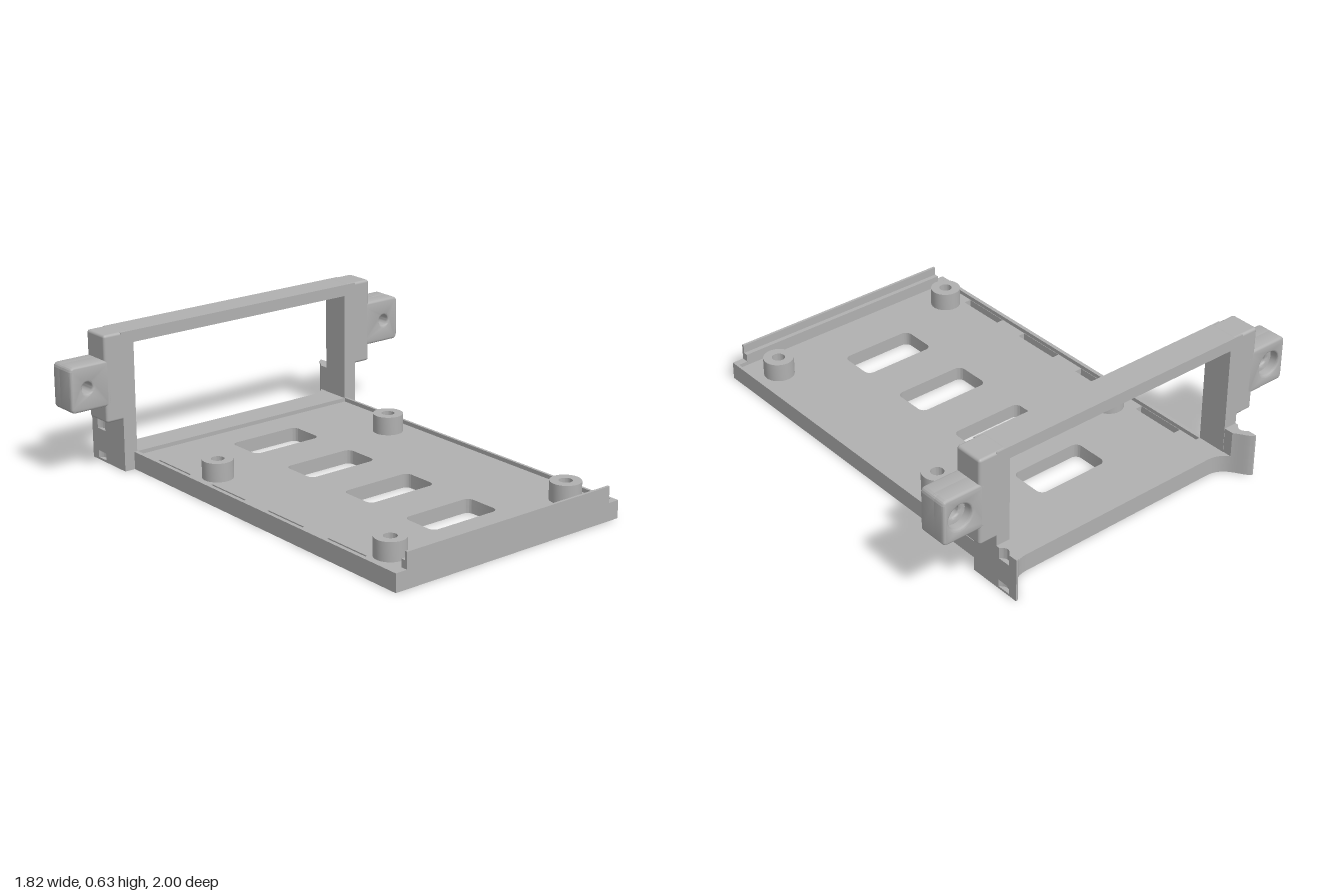
import * as THREE from 'three';
import { toCreasedNormals } from 'three/addons/utils/BufferGeometryUtils.js';
import { RoundedBoxGeometry } from 'three/addons/geometries/RoundedBoxGeometry.js';

const FRAME_BACK = -0.882, FRAME_FRONT = -0.747;

// Rounded rectangle given by its edges; r = 0 gives sharp corners
function rect(target, x0, x1, y0, y1, r = 0) {
  if (r === 0) {
    target.moveTo(x0, y0); target.lineTo(x1, y0); target.lineTo(x1, y1); target.lineTo(x0, y1);
  } else {
    target.absarc(x0 + r, y0 + r, r, Math.PI, Math.PI * 1.5);
    target.absarc(x1 - r, y0 + r, r, Math.PI * 1.5, Math.PI * 2);
    target.absarc(x1 - r, y1 - r, r, 0, Math.PI / 2);
    target.absarc(x0 + r, y1 - r, r, Math.PI / 2, Math.PI);
  }
  target.closePath();
  return target;
}

function circle(target, x, y, r) {
  target.absarc(x, y, r, 0, Math.PI * 2);
  return target;
}

function hexagon(x, y, r) {
  const points = [];
  for (let i = 0; i < 6; i++) {
    const a = i * Math.PI / 3;
    points.push(new THREE.Vector2(x + r * Math.cos(a), y + r * Math.sin(a)));
  }
  return new THREE.Path(points);
}

export function createModel() {
  const model = new THREE.Group();
  model.name = 'mountingTray';
  const grey = new THREE.MeshStandardMaterial({ color: 0xb0b0b0 });
  grey.name = 'grey plastic';

  const add = (name, geometry, parent = model) => {
    const mesh = new THREE.Mesh(geometry, grey);
    mesh.name = name;
    parent.add(mesh);
    return mesh;
  };
  const box = (name, x0, x1, y0, y1, z0, z1, parent) => {
    const g = new THREE.BoxGeometry(x1 - x0, y1 - y0, z1 - z0);
    g.translate((x0 + x1) / 2, (y0 + y1) / 2, (z0 + z1) / 2);
    return add(name, g, parent);
  };
  // Horizontal slab: the shape lies in x and z
  const slab = (name, shape, y0, y1, parent) => {
    const g = new THREE.ExtrudeGeometry(shape, { depth: y1 - y0, bevelEnabled: false, curveSegments: 16 });
    g.rotateX(Math.PI / 2).translate(0, y1, 0);
    return add(name, toCreasedNormals(g, 0.6), parent);
  };
  // Upright plate: the shape lies in x and y
  const plate = (name, shape, z0, z1, bevel, parent) => {
    const g = new THREE.ExtrudeGeometry(shape, {
      depth: z1 - z0 - 2 * bevel, bevelEnabled: bevel > 0, bevelSize: bevel,
      bevelThickness: bevel, bevelOffset: -bevel, bevelSegments: 3, curveSegments: 12,
    });
    g.translate(0, 0, z0 + bevel);
    return add(name, toCreasedNormals(g, 0.6), parent);
  };

  // Tray floor: nut pockets below, round screw holes above
  const posts = [[-0.475, -0.3], [0.473, -0.3], [-0.475, 0.822], [0.473, 0.822]];
  const floorShape = (screwHole) => {
    const s = rect(new THREE.Shape(), -0.6, 0.6, FRAME_BACK, 1);
    for (const z of [-0.515, -0.126, 0.262, 0.648]) {
      s.holes.push(rect(new THREE.Path(), -0.178, 0.176, z - 0.089, z + 0.089, 0.03));
    }
    for (const z of [-0.515, -0.125, 0.262, 0.65]) {
      s.holes.push(rect(new THREE.Path(), -0.58, -0.546, z - 0.118, z + 0.118));
    }
    for (const [x, z] of posts) s.holes.push(screwHole(x, z));
    return s;
  };
  slab('lowerFloor', floorShape((x, z) => hexagon(x, z, 0.055)), 0, 0.035);
  slab('upperFloor', floorShape((x, z) => circle(new THREE.Path(), x, z, 0.029)), 0.035, 0.062);

  // Standoffs
  for (const [x, z] of posts) {
    const ring = circle(new THREE.Shape(), x, z, 0.068);
    ring.holes.push(circle(new THREE.Path(), x, z, 0.029));
    slab('standoff', ring, 0.06, 0.145);
  }

  // Low rims and stepped front lip
  box('rightRim', -0.6, -0.582, 0.05, 0.08, FRAME_FRONT, 1);
  box('leftRim', 0.588, 0.6, 0.05, 0.08, FRAME_FRONT, 1);
  box('frontRim', -0.6, 0.6, 0.05, 0.08, 0.967, 1);
  box('frontLipStep', -0.545, 0.545, 0.08, 0.115, 0.967, 1);
  box('frontLip', -0.545, 0.545, 0.115, 0.153, 0.988, 1);

  // Upright frame with its opening
  const frame = rect(new THREE.Shape(), -0.65, 0.65, 0, 0.63);
  frame.holes.push(rect(new THREE.Path(), -0.585, 0.585, 0.08, 0.577));
  plate('frame', frame, FRAME_BACK, FRAME_FRONT, 0);

  for (const s of [1, -1]) {
    const side = new THREE.Group();
    side.name = s > 0 ? 'leftBracket' : 'rightBracket';
    model.add(side);

    // Shoulder
    const shoulder = new RoundedBoxGeometry(0.135, 0.393, FRAME_FRONT - FRAME_BACK, 3, 0.012);
    shoulder.translate(s * 0.6665, 0.4345, (FRAME_FRONT + FRAME_BACK) / 2);
    add('shoulder', shoulder, side);

    // Ear with screw hole and a wider recess behind
    const ear = (r) => {
      const xs = [s * 0.7, s * 0.908].sort((a, b) => a - b);
      const shape = rect(new THREE.Shape(), xs[0], xs[1], 0.315, 0.52, 0.022);
      shape.holes.push(circle(new THREE.Path(), s * 0.825, 0.417, r));
      return shape;
    };
    plate('earFront', ear(0.026), -0.84, FRAME_FRONT, 0.01, side);
    plate('earBack', ear(0.055), FRAME_BACK, -0.8, 0.01, side);

    // Small tab in the upper corner of the opening
    const tab = box('cornerTab', -0.016, 0.016, 0.552, 0.58, -0.85, -0.83, side);
    tab.position.x = s * 0.573;

    // Curved rear hook, scalloped on its outer face; only its foot runs inward
    const hook = (inner, notched) => {
      const shape = new THREE.Shape();
      shape.moveTo(s * 0.65, -0.86);
      if (notched) {
        shape.lineTo(s * 0.65, -0.897);
        shape.quadraticCurveTo(s * 0.61, -0.927, s * 0.65, -0.957);
      }
      shape.lineTo(s * 0.65, -1);
      shape.lineTo(s * 0.643, -1);
      const sweep = new THREE.CubicBezierCurve(
        new THREE.Vector2(0.643, -1), new THREE.Vector2(0.605, -0.975),
        new THREE.Vector2(0.595, -0.885), new THREE.Vector2(0.5, FRAME_BACK));
      let last = sweep.v0;
      for (const p of sweep.getPoints(20)) {
        if (p.x < inner) break;
        shape.lineTo(s * p.x, p.y);
        last = p;
      }
      shape.lineTo(s * last.x, -0.86);
      shape.closePath();
      return shape;
    };
    slab('hookBase', hook(0.5, false), 0, 0.01, side);
    slab('hookLowerNotch', hook(0.5, true), 0.01, 0.042, side);
    slab('hookFoot', hook(0.5, false), 0.042, 0.08, side);
    slab('hookWall', hook(0.585, false), 0.08, 0.147, side);
    slab('hookUpperNotch', hook(0.585, true), 0.147, 0.197, side);
  }
  return model;
}
